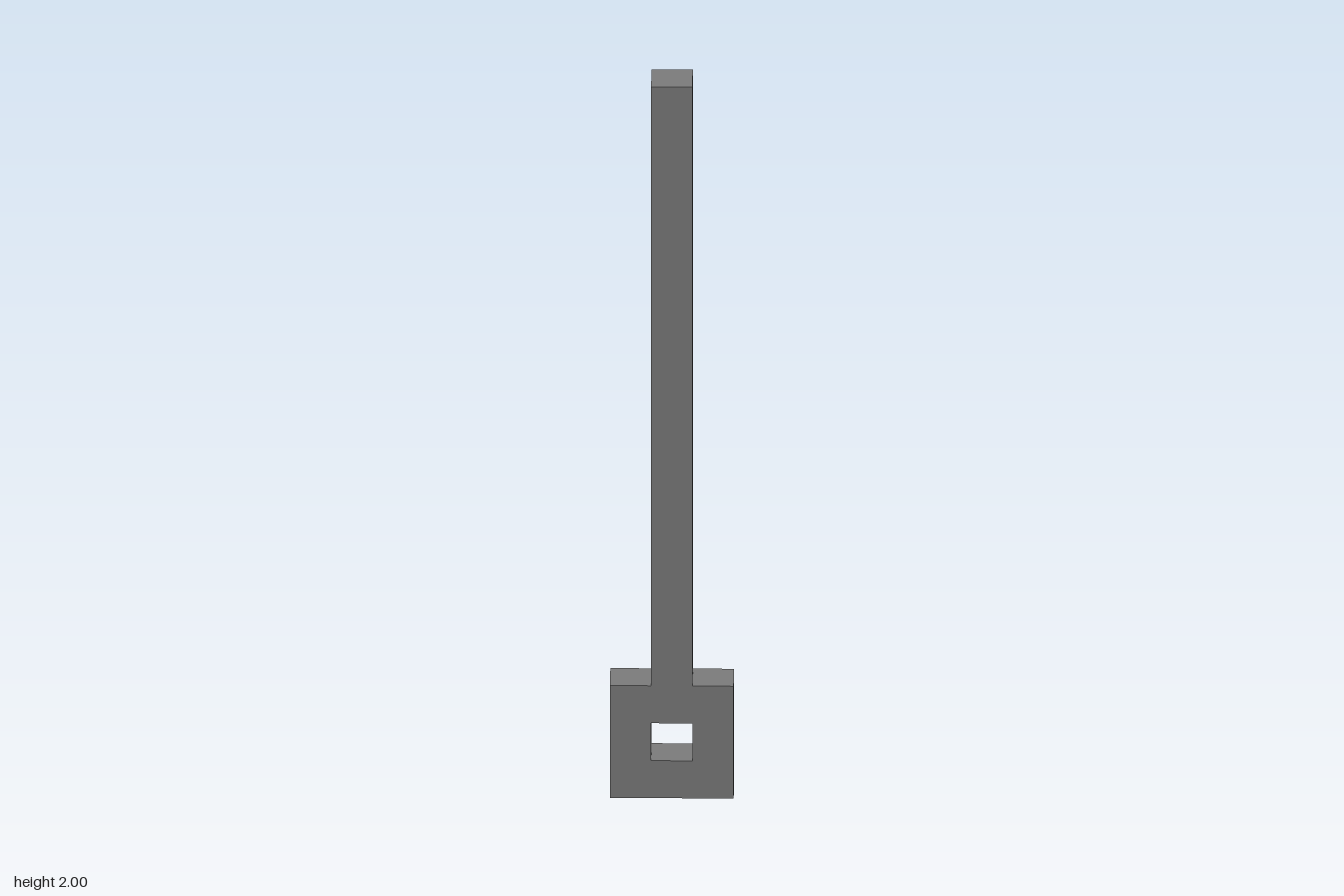
import * as THREE from 'three';

const U = 2 / 19; // thickness of the bar; every size is a multiple of it

// Closed square path of half-width h around (0, cy)
function square(PathType, h, cy) {
  return new PathType([
    new THREE.Vector2(-h, cy - h),
    new THREE.Vector2(h, cy - h),
    new THREE.Vector2(h, cy + h),
    new THREE.Vector2(-h, cy + h),
  ]);
}

export function createModel() {
  const group = new THREE.Group();
  const grey = new THREE.MeshStandardMaterial({ color: 0x7a7a7a });
  grey.name = 'grey';

  // Square head with a square hole through it
  const outline = square(THREE.Shape, 1.5 * U, 1.5 * U);
  outline.holes.push(square(THREE.Path, 0.5 * U, 1.5 * U));
  const headGeometry = new THREE.ExtrudeGeometry(outline, { depth: U, bevelEnabled: false });
  headGeometry.translate(0, 0, -U / 2);
  const head = new THREE.Mesh(headGeometry, grey);
  head.name = 'head';

  // Long square shaft standing on the head
  const shaft = new THREE.Mesh(new THREE.BoxGeometry(U, 16 * U, U), grey);
  shaft.position.y = 11 * U;
  shaft.name = 'shaft';

  group.add(head, shaft);
  return group;
}
